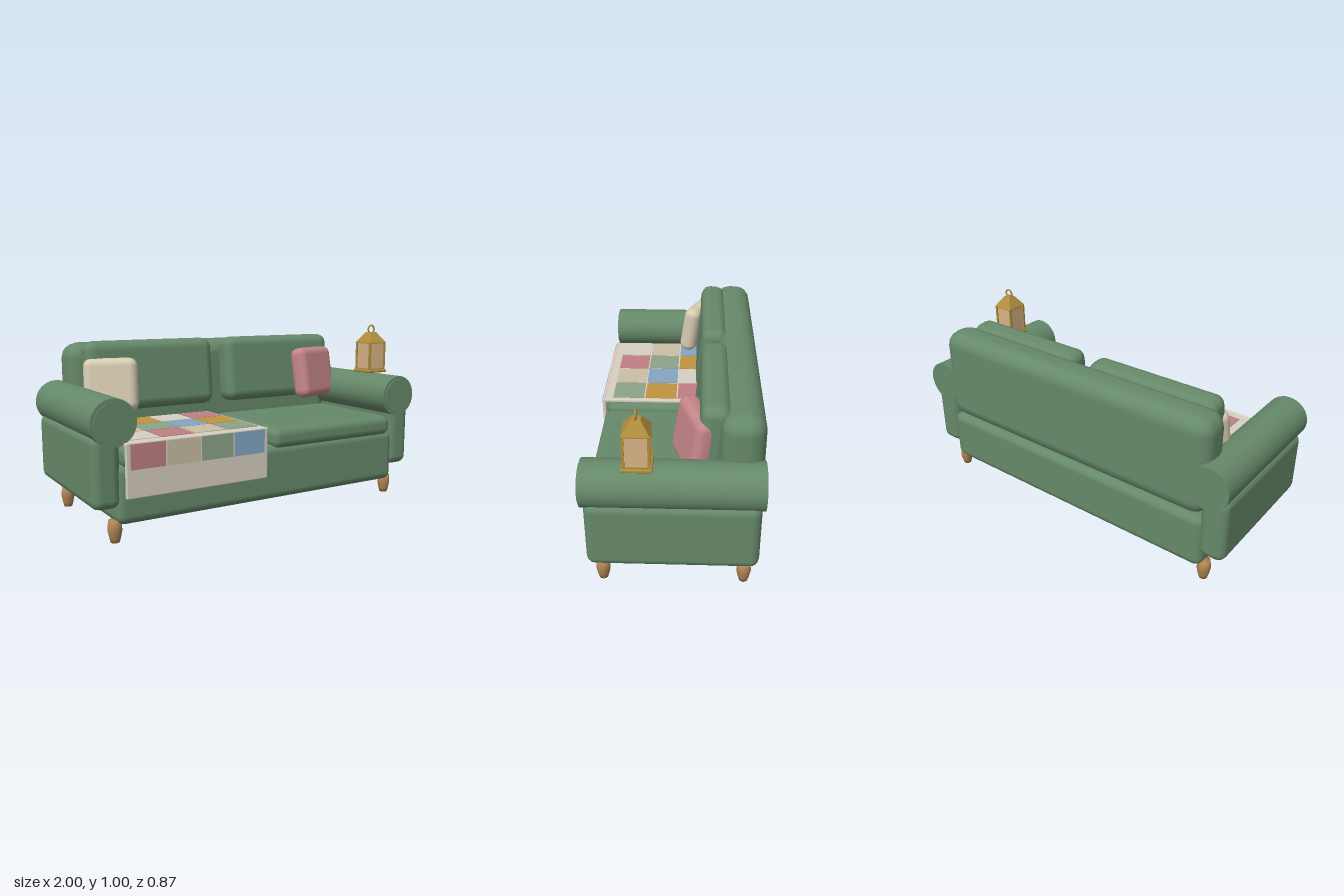
import * as THREE from 'three';
import { RoundedBoxGeometry } from 'three/addons/geometries/RoundedBoxGeometry.js';

const mat = (color) => new THREE.MeshStandardMaterial({ color });
const GREEN = mat(0x66896a), WOOD = mat(0xb08552), BRASS = mat(0xb08e3e), GLASS = mat(0xd9b487);
const PINK = mat(0xc6868a), CREAM = mat(0xd8ccb2), CLOTH = mat(0xd8cfc2);
const PATCHES = [0xc07f84, 0xc9bfa4, 0x8ca588, 0x83a6c4, 0xc2933f, 0xd6cfc4].map(mat);

function add(parent, name, geometry, material, x, y, z) {
  const mesh = new THREE.Mesh(geometry, material);
  mesh.name = name;
  mesh.position.set(x, y, z);
  parent.add(mesh);
  return mesh;
}

// Rounded box given by its extents on each axis
function soft(parent, name, material, [x0, x1], [y0, y1], [z0, z1], r) {
  const geo = new RoundedBoxGeometry(x1 - x0, y1 - y0, z1 - z0, 2, r);
  return add(parent, name, geo, material, (x0 + x1) / 2, (y0 + y1) / 2, (z0 + z1) / 2);
}

function box(parent, name, material, w, h, d, x, y, z) {
  return add(parent, name, new THREE.BoxGeometry(w, h, d), material, x, y, z);
}

function createArm(side) {
  const arm = new THREE.Group();
  arm.name = side > 0 ? 'leftArm' : 'rightArm';
  soft(arm, 'armPanel', GREEN, side > 0 ? [0.845, 0.99] : [-0.99, -0.845], [0.175, 0.53], [-0.422, 0.397], 0.045);
  const roll = new THREE.CylinderGeometry(0.115, 0.115, 0.845, 32).rotateX(Math.PI / 2);
  add(arm, 'armRoll', roll, GREEN, side * 0.885, 0.59, -0.0125);
  const cap = new THREE.CylinderGeometry(0.1, 0.1, 0.02, 32).rotateX(Math.PI / 2);
  add(arm, 'armRollCap', cap, GREEN, side * 0.885, 0.587, 0.406);
  return arm;
}

function createBlanket() {
  const blanket = new THREE.Group();
  blanket.name = 'patchworkBlanket';
  soft(blanket, 'blanketTop', CLOTH, [-0.84, -0.05], [0.472, 0.494], [-0.21, 0.425], 0.008);
  soft(blanket, 'blanketDrape', CLOTH, [-0.84, -0.05], [0.225, 0.496], [0.413, 0.433], 0.008);
  for (let c = 0; c < 4; c++) {
    const x = -0.727 + c * 0.188;
    for (let r = 0; r < 3; r++)
      box(blanket, 'topPatch', PATCHES[(c + 2 * r + 5) % 6], 0.18, 0.006, 0.18, x, 0.494, 0.283 - r * 0.188);
    box(blanket, 'drapePatch', PATCHES[c], 0.18, 0.122, 0.006, x, 0.427, 0.433);
  }
  return blanket;
}

function createLantern() {
  const lantern = new THREE.Group();
  lantern.name = 'lantern';
  soft(lantern, 'lanternBase', BRASS, [-0.071, 0.071], [0, 0.018], [-0.071, 0.071], 0.006);
  box(lantern, 'lanternGlass', GLASS, 0.112, 0.16, 0.112, 0, 0.098, 0);
  for (const x of [-1, 1]) for (const z of [-1, 1])
    box(lantern, 'lanternPost', BRASS, 0.012, 0.166, 0.012, x * 0.057, 0.1, z * 0.057);
  // Thin rails between the posts, bottom and top
  for (const y of [0.021, 0.179]) for (const s of [-1, 1]) {
    box(lantern, 'lanternRail', BRASS, 0.114, 0.007, 0.01, 0, y, s * 0.057);
    box(lantern, 'lanternRail', BRASS, 0.01, 0.007, 0.114, s * 0.057, y, 0);
  }
  const roof = new THREE.CylinderGeometry(0.022 * Math.SQRT2, 0.064 * Math.SQRT2, 0.06, 4).toNonIndexed();
  roof.rotateY(Math.PI / 4).computeVertexNormals();
  add(lantern, 'lanternRoof', roof, BRASS, 0, 0.212, 0);
  add(lantern, 'lanternRing', new THREE.TorusGeometry(0.023, 0.005, 8, 24), BRASS, 0, 0.26, 0);
  lantern.position.set(0.902, 0.707, 0.145);
  return lantern;
}

export function createModel() {
  const sofa = new THREE.Group();
  sofa.name = 'sofa';

  // Frame
  soft(sofa, 'base', GREEN, [-0.87, 0.87], [0.088, 0.385], [-0.424, 0.397], 0.045);
  soft(sofa, 'backrest', GREEN, [-0.87, 0.87], [0.385, 0.915], [-0.435, -0.225], 0.085);
  for (const side of [-1, 1]) sofa.add(createArm(side));

  // Turned legs
  const legProfile = [[0, 0], [0.022, 0], [0.029, 0.025], [0.036, 0.058], [0.035, 0.075], [0.031, 0.11], [0, 0.11]]
    .map(([x, y]) => new THREE.Vector2(x, y));
  const legGeo = new THREE.LatheGeometry(legProfile, 12);
  for (const x of [-0.865, 0.865]) for (const z of [0.335, -0.36]) add(sofa, 'leg', legGeo, WOOD, x, 0, z);

  // Seat and back cushions
  for (const side of [-1, 1]) {
    soft(sofa, 'seatCushion', GREEN, side > 0 ? [0.01, 0.84] : [-0.845, -0.02], [0.36, 0.475], [-0.24, 0.408], 0.045);
    const back = soft(sofa, 'backCushion', GREEN, side > 0 ? [0.042, 0.795] : [-0.805, -0.048], [0.55, 0.928], [-0.265, -0.12], 0.055);
    back.rotation.x = -0.1;
  }

  // Throw pillows
  const cream = add(sofa, 'creamPillow', new RoundedBoxGeometry(0.285, 0.285, 0.1, 2, 0.045), CREAM, -0.69, 0.7, -0.105);
  cream.rotation.set(-0.17, -0.4, -0.06);
  const pink = add(sofa, 'pinkPillow', new RoundedBoxGeometry(0.325, 0.305, 0.11, 2, 0.045), PINK, 0.65, 0.7, -0.105);
  pink.rotation.set(-0.17, 0.32, 0.05);

  sofa.add(createBlanket(), createLantern());
  return sofa;
}
